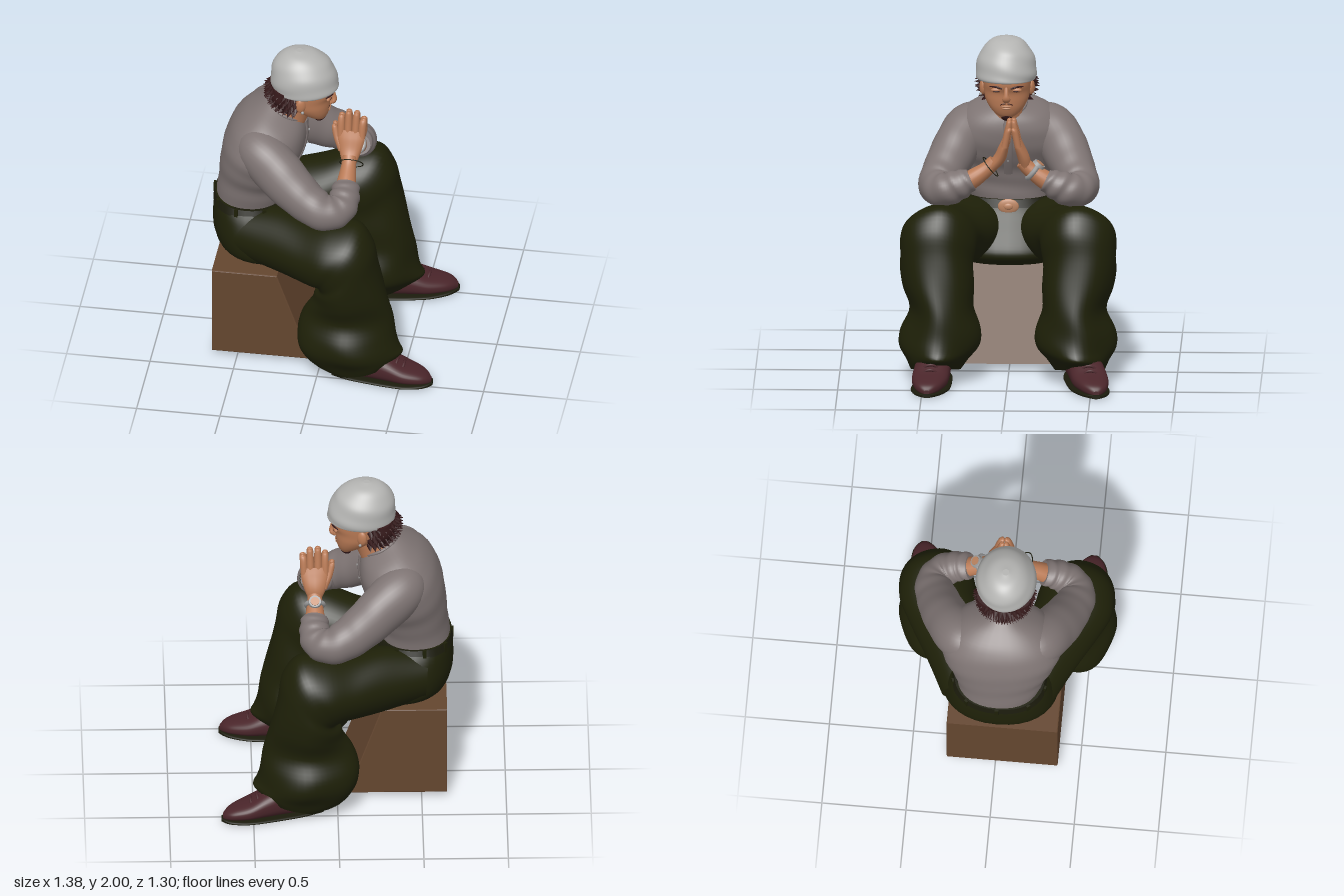
import * as THREE from 'three';

const V = (x, y, z) => new THREE.Vector3(x, y, z);
const mat = (name, color) => Object.assign(new THREE.MeshStandardMaterial({ color }), { name });
const M = {
  cap: mat('capGrey', 0xb4b4b2), shirt: mat('shirtGrey', 0x7e7473), trousers: mat('trouserGreen', 0x1e2008),
  skin: mat('skin', 0xb97a55), hair: mat('hairBrown', 0x35191a), shoe: mat('shoeBurgundy', 0x4a252a),
  block: mat('blockBrown', 0x64462f), copper: mat('copper', 0xbd8562), dark: mat('darkLeather', 0x1b1b0c),
  metal: mat('metal', 0x9c9c9c),
};

// Closed smooth surface: rings of n points, at(t, angle) gives each point, both ends capped
function surface(at, steps, n) {
  const pos = [], idx = [];
  const ring = (t) => {
    const start = pos.length / 3;
    for (let j = 0; j < n; j++) pos.push(...at(t, (j / n) * Math.PI * 2).toArray());
    return start;
  };
  for (let i = 0; i <= steps; i++) ring(i / steps);
  for (let i = 0; i < steps; i++) for (let j = 0; j < n; j++) {
    const a = i * n + j, b = i * n + (j + 1) % n;
    idx.push(a, b, a + n, b, b + n, a + n);
  }
  for (const t of [0, 1]) {
    const s = ring(t), mid = V(0, 0, 0);
    for (let j = 0; j < n; j++) mid.add(V(...pos.slice((s + j) * 3, (s + j) * 3 + 3)));
    pos.push(...mid.divideScalar(n).toArray());
    for (let j = 0; j < n; j++) {
      const a = s + j, b = s + (j + 1) % n;
      idx.push(s + n, t ? a : b, t ? b : a);
    }
  }
  const g = new THREE.BufferGeometry();
  g.setAttribute('position', new THREE.Float32BufferAttribute(pos, 3));
  g.setIndex(idx);
  g.computeVertexNormals();
  return g;
}
const curve = (pts) => new THREE.CatmullRomCurve3(pts, false, 'catmullrom', 0.5);
const bend = (c, s) => Math.sign(c) * Math.abs(c) ** s;

// Side-profile loft: each row is [innerX, innerY, outerX, outerY, centreZ, halfWidth]
function loft(rows, { fold = () => 0, square = 1, sub = 5, n = 36 } = {}) {
  const a = curve(rows.map(r => V(r[0], r[1], r[4]))), b = curve(rows.map(r => V(r[2], r[3], r[4])));
  const w = curve(rows.map(r => V(r[5], 0, 0)));
  return surface((t, q) => {
    const p = a.getPoint(t), o = b.getPoint(t), k = 1 + fold(t, q);
    const mid = p.clone().add(o).multiplyScalar(0.5), u = o.sub(p).multiplyScalar(0.5);
    return mid.addScaledVector(u, k * bend(Math.cos(q), square))
      .add(V(0, 0, w.getPoint(t).x * k * bend(Math.sin(q), square)));
  }, (rows.length - 1) * sub, n);
}

// Limb along a path: each row is [x, y, z, sideRadius, radiusTowardsRef]
function limb(rows, { ref = V(0, 1, 0), fold = () => 0, sub = 6, n = 20 } = {}) {
  const c = curve(rows.map(r => V(r[0], r[1], r[2])));
  const w = curve(rows.map(r => V(r[3], r[4] ?? r[3], 0)));
  return surface((t, q) => {
    const d = c.getTangent(t), u = ref.clone().cross(d).normalize(), v = d.clone().cross(u);
    const r = w.getPoint(t), k = 1 + fold(t, q);
    return c.getPoint(t).addScaledVector(u, r.x * k * Math.cos(q)).addScaledVector(v, r.y * k * Math.sin(q));
  }, (rows.length - 1) * sub, n);
}

export function createModel() {
  const model = new THREE.Group();
  model.name = 'seatedFigure';
  const add = (name, geo, m, parent = model) => {
    const o = new THREE.Mesh(geo, m);
    o.name = name;
    parent.add(o);
    return o;
  };
  const ball = (name, m, p, s, parent) => {
    const o = add(name, new THREE.SphereGeometry(1, 16, 12), m, parent);
    o.position.set(...p);
    o.scale.set(...s);
    return o;
  };

  // Sloped block
  const side = new THREE.Shape([[-0.645, 0.035], [-0.065, 0.035], [-0.265, 0.595], [-0.645, 0.595]].map(p => new THREE.Vector2(...p)));
  add('block', new THREE.ExtrudeGeometry(side, { depth: 0.646, bevelSize: 0.006, bevelThickness: 0.007, bevelSegments: 2 }), M.block)
    .position.z = -0.283;

  // Torso, hips and belt
  add('shirtBody', loft([
    [-0.36, 1.64, -0.16, 1.53, 0.01, 0.1], [-0.45, 1.595, -0.14, 1.46, 0.01, 0.235], [-0.54, 1.53, -0.14, 1.37, 0.01, 0.325],
    [-0.605, 1.43, -0.17, 1.27, 0.01, 0.36], [-0.64, 1.3, -0.22, 1.18, 0.01, 0.33], [-0.655, 1.15, -0.25, 1.09, 0.01, 0.28],
    [-0.672, 0.985, -0.262, 0.985, 0.01, 0.25],
  ], { square: 0.9, fold: (t, q) => 0.012 * t * Math.sin(34 * t + 2 * Math.sin(q)) }), M.shirt);
  add('collar', limb([0, 1, 2, 3, 4, 5, 6, 7, 8].map(i => {
    const q = i * Math.PI / 4;
    return [-0.26 + 0.102 * Math.cos(q), 1.583 - 0.058 * Math.cos(q), 0.01 + 0.106 * Math.sin(q), 0.01];
  }), { n: 10 }), M.shirt);
  add('placket', limb([[-0.142, 1.5, 0.01, 0.024, 0.008], [-0.135, 1.4, 0.01, 0.026, 0.008], [-0.165, 1.27, 0.01, 0.026, 0.008],
    [-0.222, 1.15, 0.01, 0.026, 0.008]], { ref: V(1, 0, 0) }), M.shirt);
  for (const [x, y] of [[-0.124, 1.43], [-0.137, 1.34], [-0.172, 1.24]]) ball('button', M.metal, [x, y, 0.01], [0.006, 0.008, 0.008]);
  add('hips', loft([
    [-0.678, 0.99, -0.258, 0.985, 0.01, 0.262], [-0.69, 0.9, -0.22, 0.9, 0.01, 0.31], [-0.69, 0.78, -0.14, 0.78, 0.01, 0.345],
    [-0.65, 0.67, -0.09, 0.68, 0.01, 0.34], [-0.56, 0.615, -0.13, 0.615, 0.01, 0.27],
  ], { square: 0.9 }), M.trousers);
  add('belt', loft([[-0.682, 0.99, -0.25, 0.985, 0.01, 0.268], [-0.692, 0.945, -0.235, 0.935, 0.01, 0.287]], { square: 0.9 }), M.dark);
  for (let i = 0; i < 7; i++) {
    const q = Math.PI * (0.35 + i * 1.3 / 6);
    const o = add('beltLoop', new THREE.BoxGeometry(0.012, 0.065, 0.022), M.trousers);
    o.position.set(-0.463 + 0.226 * bend(Math.cos(q), 0.9), 0.963, 0.01 + 0.28 * bend(Math.sin(q), 0.9));
    o.rotation.y = -q;
  }
  ball('buckle', M.copper, [-0.235, 0.948, 0.01], [0.014, 0.045, 0.063]);
  ball('buckleBoss', M.copper, [-0.224, 0.948, 0.01], [0.01, 0.02, 0.028]);

  for (const s of [1, -1]) {
    const half = new THREE.Group();
    half.name = s > 0 ? 'rightLimbs' : 'leftLimbs';
    model.add(half);

    // Wide trouser leg, fanned round the knee
    add('trouserLeg', loft([
      [-0.52, 0.64, -0.54, 0.94, 0.19, 0.14], [-0.3, 0.61, -0.3, 0.99, 0.24, 0.21], [-0.12, 0.61, -0.1, 1.0, 0.325, 0.23],
      [-0.03, 0.62, 0.08, 1.035, 0.395, 0.236], [-0.01, 0.615, 0.24, 1.04, 0.415, 0.226], [0, 0.6, 0.325, 0.93, 0.42, 0.22],
      [-0.02, 0.57, 0.355, 0.78, 0.425, 0.218], [-0.04, 0.51, 0.4, 0.6, 0.41, 0.208], [-0.09, 0.42, 0.435, 0.44, 0.39, 0.192],
      [-0.13, 0.3, 0.455, 0.31, 0.395, 0.235], [-0.12, 0.19, 0.475, 0.22, 0.405, 0.235], [-0.04, 0.08, 0.49, 0.17, 0.42, 0.18],
      [0.08, 0.025, 0.43, 0.12, 0.43, 0.145],
    ].map(r => (r[4] *= s, r)), {
      square: 1.06, n: 48,
      fold: (t, q) => 0.03 * t * Math.sin(5 * q * s + 9 * t) + 0.012 * Math.sin(30 * t + 3 * Math.sin(q)),
    }), M.trousers);

    // Shoe with sole and laces, the left foot turned further out
    const footZ = x => s * (0.425 + (s > 0 ? 0.09 : 0.23) * (x - 0.2));
    const foot = [[0.09, 0.1, 0.06], [0.2, 0.17, 0.09], [0.32, 0.2, 0.102], [0.42, 0.17, 0.108], [0.52, 0.12, 0.106], [0.61, 0.09, 0.08], [0.655, 0.07, 0.05], [0.682, 0.045, 0.016]];
    add('shoe', loft(foot.map(([x, y, w]) => [x, 0.014, x, y, footZ(x), w]), { square: 0.8 }), M.shoe, half);
    add('sole', loft(foot.map(([x, , w]) => [x * 1.02 - 0.006, 0, x * 1.02 - 0.006, 0.024, footZ(x), w + 0.007]), { square: 0.6 }), M.dark, half);
    for (const [x, y] of [[0.43, 0.163], [0.47, 0.143], [0.51, 0.122]]) {
      const z = footZ(x);
      add('lace', limb([[x, y - 0.02, z - 0.06, 0.007], [x + 0.01, y + 0.008, z, 0.008], [x, y - 0.02, z + 0.06, 0.007]], { n: 8 }), M.shoe, half);
    }

    // Sleeve rising out of the shoulder, wrinkles gathering at the cuff
    add('sleeve', limb([
      [-0.42, 1.45, 0.1, 0.08, 0.08], [-0.385, 1.41, 0.22, 0.145, 0.14], [-0.265, 1.315, 0.31, 0.14, 0.15], [-0.11, 1.2, 0.385, 0.125, 0.13],
      [0.02, 1.135, 0.425, 0.112, 0.11], [0.11, 1.13, 0.38, 0.1, 0.1], [0.135, 1.165, 0.295, 0.09, 0.09], [0.13, 1.2, 0.22, 0.077, 0.067],
    ].map(r => (r[2] *= s, r)), { n: 32, sub: 10, fold: (t, q) => 0.055 * t * t * Math.sin(60 * t + 2 * Math.sin(q)) + 0.012 * Math.sin(20 * t + 2 * q) }), M.shirt, half);
    add('forearm', limb([[0.13, 1.16, 0.28, 0.06], [0.13, 1.21, 0.2, 0.056], [0.13, 1.265, 0.125, 0.045], [0.13, 1.31, 0.08, 0.042]]
      .map(r => (r[2] *= s, r))), M.skin, half);

    // Pressed hand, the pair meeting slightly left of centre
    const up = { ref: V(1, 0, 0), n: 14 }, h = d => -0.02 + s * d;
    add('palm', limb([[0.13, 1.27, s * 0.105, 0.032, 0.04], [0.128, 1.33, h(0.072), 0.036, 0.066], [0.128, 1.4, h(0.046), 0.029, 0.084],
      [0.13, 1.45, h(0.03), 0.02, 0.08]], up), M.skin, half);
    [[0.068, 1.545, 0.067], [0.11, 1.57, 0.11], [0.153, 1.565, 0.157], [0.191, 1.53, 0.2]].forEach(([x, y, tip]) =>
      add('finger', limb([[x, 1.41, h(0.04), 0.02, 0.022], [(x + tip) / 2, 1.49, h(0.023), 0.02, 0.022], [tip, y - 0.012, h(0.013), 0.015, 0.018], [tip, y, h(0.012), 0.005]], up), M.skin, half));
    add('thumb', limb([[0.08, 1.33, h(0.065), 0.025], [0.045, 1.4, h(0.035), 0.022], [0.027, 1.46, h(0.018), 0.017], [0.026, 1.475, h(0.016), 0.006]], up), M.skin, half);

    // Watch on the left wrist, loose thin cord on the right
    const wrist = add(s < 0 ? 'watchStrap' : 'wristCord',
      new THREE.TorusGeometry(s < 0 ? 0.05 : 0.07, s < 0 ? 0.015 : 0.003, 8, 32), s < 0 ? M.metal : M.dark, half);
    wrist.position.set(s < 0 ? 0.13 : 0.145, s < 0 ? 1.25 : 1.28, s * (s < 0 ? 0.145 : 0.105));
    wrist.lookAt(wrist.position.clone().add(V(0, 0.6, -s * 0.75)));
    if (s < 0) {
      const face = add('watchFace', new THREE.CylinderGeometry(0.036, 0.04, 0.02, 24), M.metal, half);
      face.position.set(0.13, 1.293, -0.183);
      face.rotation.x = -0.68;
      const dial = add('watchDial', new THREE.CylinderGeometry(0.026, 0.026, 0.006, 24), M.copper, half);
      dial.position.set(0.13, 1.301, -0.19);
      dial.rotation.x = -0.68;
    }
  }

  // Head and neck
  const head = new THREE.Group();
  head.name = 'head';
  model.add(head);
  const zc = 0.015;
  add('neck', loft([[-0.26, 1.72, -0.08, 1.6, 0.012, 0.09], [-0.33, 1.64, -0.12, 1.55, 0.01, 0.095], [-0.37, 1.57, -0.15, 1.48, 0.01, 0.105]]), M.skin, head);
  add('face', loft([
    [-0.3, 1.8, 0.025, 1.8, zc, 0.145], [-0.3, 1.735, 0.026, 1.735, zc, 0.142], [-0.28, 1.69, 0.008, 1.69, zc, 0.138], [-0.25, 1.65, 0.004, 1.64, zc, 0.13],
    [-0.2, 1.61, -0.002, 1.595, zc, 0.108], [-0.15, 1.58, -0.018, 1.555, zc, 0.078], [-0.11, 1.555, -0.04, 1.53, zc, 0.04],
  ], { square: 0.9 }), M.skin, head);
  add('nose', limb([[0.013, 1.735, zc, 0.012, 0.012], [0.025, 1.69, zc, 0.015, 0.015], [0.025, 1.662, zc, 0.024, 0.016], [0.005, 1.645, zc, 0.02, 0.012]], { ref: V(1, 0, 0) }), M.skin, head);
  ball('upperLip', M.copper, [-0.006, 1.612, zc], [0.013, 0.007, 0.034], head);
  ball('lowerLip', M.copper, [-0.009, 1.598, zc], [0.014, 0.009, 0.029], head);
  ball('goatee', M.hair, [-0.056, 1.54, zc], [0.038, 0.026, 0.034], head).rotation.z = 0.6;
  for (const s of [1, -1]) {
    const z = d => zc + s * d;
    ball('eyeSocket', M.skin, [0.003, 1.712, z(0.058)], [0.014, 0.016, 0.034], head);
    ball('eye', M.hair, [0.013, 1.707, z(0.058)], [0.006, 0.004, 0.021], head);
    add('eyebrow', limb([[0.024, 1.724, z(0.024), 0.004], [0.019, 1.735, z(0.06), 0.006], [-0.006, 1.733, z(0.1), 0.003]], { n: 8 }), M.hair, head);
    add('moustache', limb([[0.001, 1.629, z(0.006), 0.003], [-0.003, 1.624, z(0.03), 0.004], [-0.013, 1.605, z(0.05), 0.003]], { n: 8 }), M.hair, head);
    ball('ear', M.skin, [-0.15, 1.695, z(0.145)], [0.03, 0.046, 0.018], head).rotation.y = s * 0.35;
    ball('earStud', M.metal, [-0.138, 1.655, z(0.157)], [0.009, 0.009, 0.009], head);
  }

  // Curls below the cap
  add('hairMass', loft([[-0.34, 1.77, -0.18, 1.77, zc, 0.16], [-0.355, 1.7, -0.19, 1.7, zc, 0.16], [-0.3, 1.615, -0.2, 1.62, zc, 0.115]]), M.hair, head);
  for (let r = 0; r < 6; r++) for (let i = 0; i < 17; i++) {
    const q = Math.PI * (0.5 + (i + (r % 2) * 0.5) / 17), shrink = 1 - 0.04 * Math.max(0, r - 2) ** 1.5;
    const o = add('curl', new THREE.ConeGeometry(0.02, 0.055, 6), M.hair, head);
    o.position.set(-0.185 + 0.188 * shrink * Math.cos(q), 1.742 - r * 0.025, zc + 0.168 * shrink * Math.sin(q));
    o.quaternion.setFromUnitVectors(V(0, 1, 0), V(Math.cos(q), -0.35 + 0.35 * Math.sin(i * 5 + r), Math.sin(q)).normalize());
  }

  // Soft cap with wrapped folds and a rounded rim
  add('cap', loft([
    [-0.2, 2.0, -0.16, 2.0, 0.02, 0.02], [-0.268, 1.982, -0.08, 1.982, 0.02, 0.085], [-0.32, 1.94, -0.012, 1.938, 0.02, 0.132],
    [-0.345, 1.88, 0.025, 1.885, 0.02, 0.166], [-0.352, 1.81, 0.047, 1.82, 0.02, 0.18], [-0.346, 1.76, 0.054, 1.775, 0.02, 0.179],
    [-0.335, 1.745, 0.044, 1.758, 0.02, 0.17], [-0.3, 1.75, 0.01, 1.765, 0.02, 0.14],
  ], { n: 48, sub: 7, fold: (t, q) => 0.012 * Math.sin(Math.PI * t) * Math.sin(24 * t + 3 * Math.sin(q + 0.6)) }), M.cap, head);
  return model;
}
